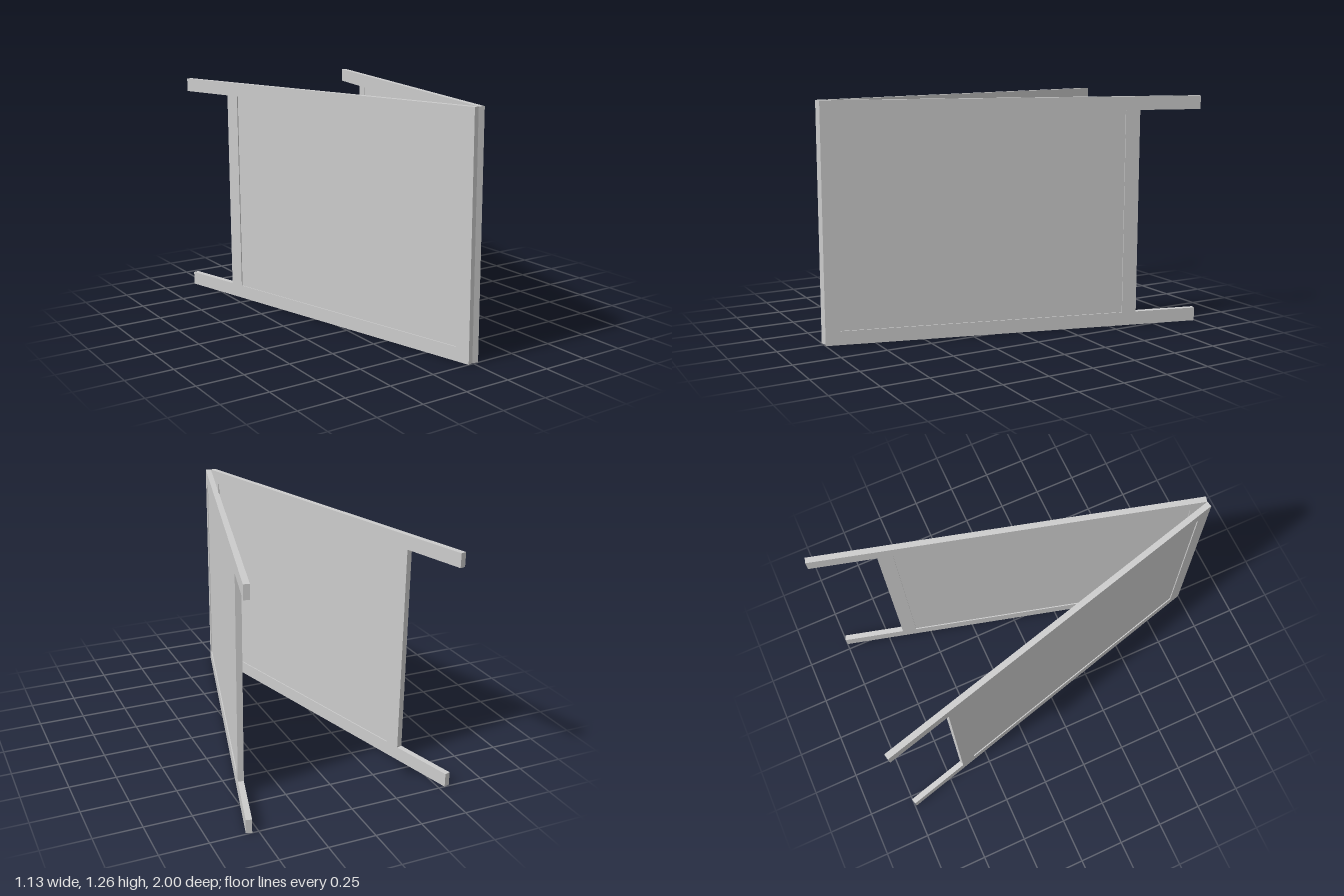
import * as THREE from 'three';

const H = 1.265;      // height of each board
const L = 2.062;      // length of the rails
const T = 0.031;      // frame thickness
const W = 0.074;      // frame bar width
const RECESS = 0.006; // panel set-back on both faces
const ANGLE = THREE.MathUtils.degToRad(15);

const material = new THREE.MeshStandardMaterial({ color: 0xcccccc, flatShading: true });

// One board in its own plane: local x runs from the joint to the feet, local z is outward
function makeBoard(name) {
  const board = new THREE.Group();
  board.name = name;

  // H-shaped frame with two protruding feet and a rectangular opening
  const inner = 0.078, far = 1.629, stile = 1.71;
  const outline = new THREE.Shape([
    [0, 0], [L, 0], [L, W], [stile, W],
    [stile, H - W], [L, H - W], [L, H], [0, H],
  ].map(([x, y]) => new THREE.Vector2(x, y)));
  outline.holes.push(new THREE.Path([
    [inner, W], [inner, H - W], [far, H - W], [far, W],
  ].map(([x, y]) => new THREE.Vector2(x, y))));
  const frame = new THREE.Mesh(
    new THREE.ExtrudeGeometry(outline, { depth: T, bevelEnabled: false }), material);
  frame.name = 'frame';

  // Thin panel filling the opening
  const panel = new THREE.Mesh(
    new THREE.BoxGeometry(far - inner, H - 2 * W, T - 2 * RECESS), material);
  panel.position.set((inner + far) / 2, H / 2, T / 2);
  panel.name = 'panel';

  board.add(frame, panel);
  return board;
}

export function createModel() {
  const model = new THREE.Group();
  model.name = 'foldingBoard';
  const apexZ = 1 - T * Math.sin(ANGLE);

  // Left board: the inner corner sits on the centre line, the feet splay to +x, -z
  const left = makeBoard('leftBoard');
  left.rotation.y = Math.PI / 2 - ANGLE;
  left.position.set(0, 0, apexZ);

  // Right board: same board turned the other way, its outer face towards -x
  const right = makeBoard('rightBoard');
  right.rotation.y = Math.PI / 2 + ANGLE;
  right.position.set(-T * Math.cos(ANGLE), 0, 1);

  model.add(left, right);
  return model;
}
